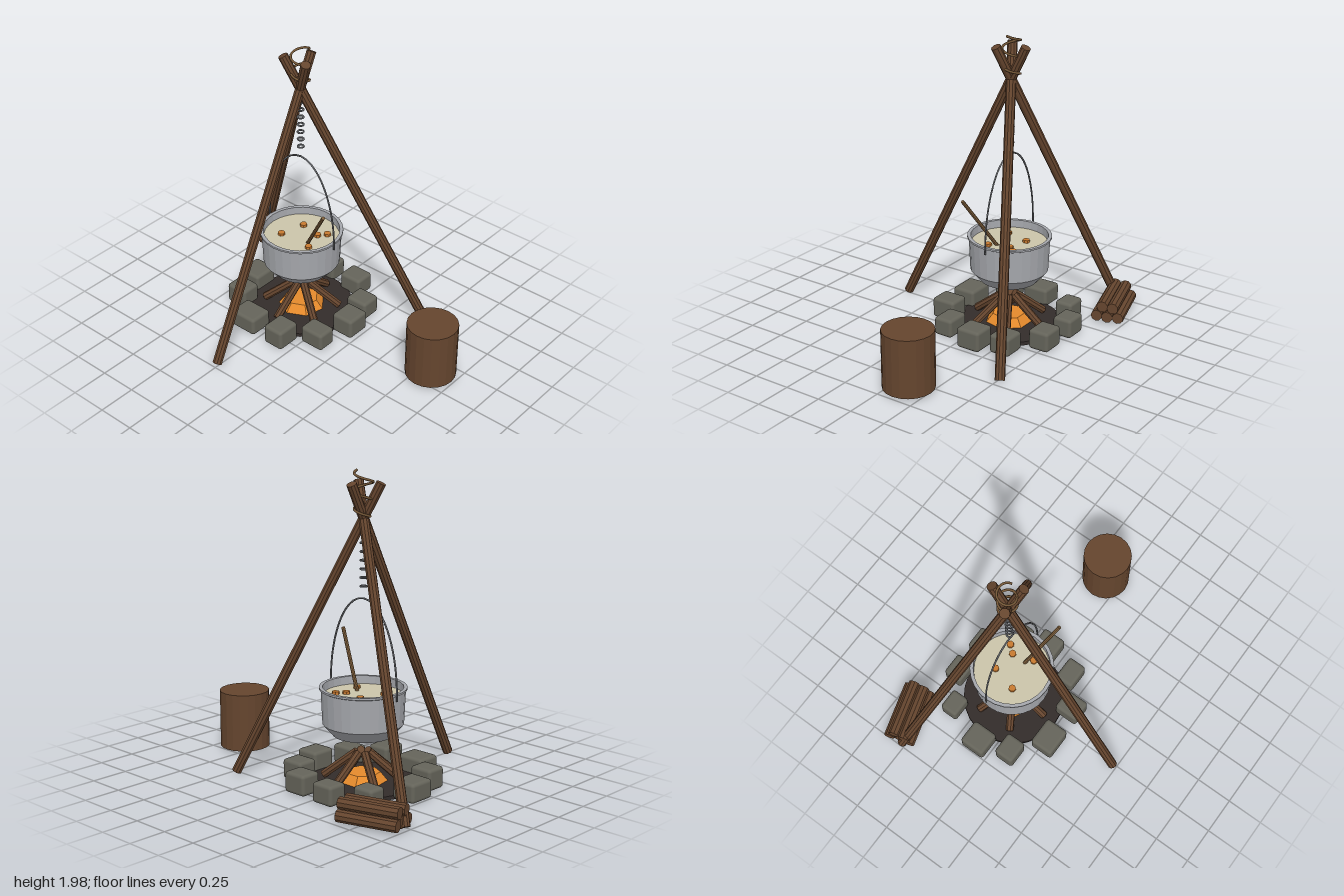
import * as THREE from 'three';
import { RoundedBoxGeometry } from 'three/addons/geometries/RoundedBoxGeometry.js';

const CX = -0.26, CZ = -0.11; // centre of the fire pit

function mat(name, color, extra = {}) {
  const m = new THREE.MeshStandardMaterial({ color, ...extra });
  m.name = name;
  return m;
}

export function createModel() {
  const root = new THREE.Group();
  root.name = 'campfireCookingSite';
  const flat = { flatShading: true };
  const bark = mat('bark brown', 0x65452e, flat);
  const stone = mat('stone grey', 0x65645a);
  const steel = mat('pot steel', 0xa6a8ad, { flatShading: true, side: THREE.DoubleSide });
  const iron = mat('dark iron', 0x6c6e72);
  const rope = mat('rope tan', 0x735636);
  const spoonWood = mat('spoon wood', 0x80603c, flat);
  const broth = mat('soup cream', 0xcbc5aa);
  const carrot = mat('carrot orange', 0xc87a30, flat);
  const ember = mat('ember orange', 0xe58a2c, flat);
  const ash = mat('ash black', 0x332c2a);

  function add(parent, name, geo, material, x = 0, y = 0, z = 0) {
    const m = new THREE.Mesh(geo, material);
    m.name = name;
    m.position.set(x, y, z);
    parent.add(m);
    return m;
  }
  function group(name, x = 0, y = 0, z = 0) {
    const g = new THREE.Group();
    g.name = name;
    g.position.set(x, y, z);
    root.add(g);
    return g;
  }
  // Round bar between two points
  function bar(parent, name, a, b, r0, r1, sides, material) {
    const p = new THREE.Vector3(...a), q = new THREE.Vector3(...b);
    const d = q.clone().sub(p);
    const m = add(parent, name, new THREE.CylinderGeometry(r1, r0, d.length(), sides), material);
    m.position.copy(p).add(q).multiplyScalar(0.5);
    m.quaternion.setFromUnitVectors(new THREE.Vector3(0, 1, 0), d.normalize());
    return m;
  }
  // Point at an angle (degrees) and radius around the local centre
  const polar = (deg, r, y) => {
    const a = THREE.MathUtils.degToRad(deg);
    return [Math.cos(a) * r, y, Math.sin(a) * r];
  };

  // Tripod poles
  const tripod = group('tripod', CX, 0, CZ);
  for (const deg of [90, 210, 330])
    bar(tripod, 'tripodPole', polar(deg, 0.83, 0.025), polar(deg, -0.107, 1.91), 0.032, 0.032, 10, bark);

  // Rope wound around the crossing
  const coil = [];
  for (let i = 0; i <= 30; i++) {
    const a = (i / 30) * Math.PI * 5;
    coil.push(new THREE.Vector3(Math.cos(a) * 0.058, 1.98 - 0.27 * i / 30, -Math.sin(a) * 0.058));
  }
  add(tripod, 'ropeLashing', new THREE.TubeGeometry(new THREE.CatmullRomCurve3(coil), 80, 0.008, 6), rope);

  // Hanging chain of flat rings
  const chain = group('chain', CX, 0, CZ);
  for (let i = 0; i < 8; i++) {
    const link = add(chain, 'chainLink', new THREE.TorusGeometry(0.02, 0.006, 6, 12), iron, 0, 1.275 + i * 0.0535, 0);
    link.rotation.x = Math.PI / 2;
  }

  // Pot: outer wall, rim, then inner wall
  const pot = group('cookingPot', CX, 0, CZ);
  const profile = [[0, 0.335], [0.19, 0.335], [0.255, 0.41], [0.265, 0.625], [0.275, 0.63],
    [0.275, 0.642], [0.252, 0.642], [0.245, 0.42], [0, 0.36]].map(p => new THREE.Vector2(...p));
  add(pot, 'potBody', new THREE.LatheGeometry(profile, 28), steel);
  add(pot, 'soup', new THREE.CylinderGeometry(0.25, 0.25, 0.01, 28), broth, 0, 0.585, 0);
  for (const [x, z, t] of [[-0.106, 0.08, 0.4], [0.13, 0.08, 1], [0.13, -0.11, 0.2], [-0.06, -0.09, 0.7], [0.087, -0.06, 1.3]])
    add(pot, 'carrotPiece', new THREE.CylinderGeometry(0.024, 0.024, 0.022, 7), carrot, x, 0.597, z).rotation.y = t;

  // Bail handle
  const arc = [new THREE.Vector3(-0.28, 0.6, 0)];
  for (let i = 0; i <= 12; i++) {
    const a = Math.PI * (1 - i / 12);
    arc.push(new THREE.Vector3(Math.cos(a) * 0.28, 0.62 + Math.sin(a) * 0.58, 0));
  }
  arc.push(new THREE.Vector3(0.28, 0.6, 0));
  add(pot, 'potHandle', new THREE.TubeGeometry(new THREE.CatmullRomCurve3(arc), 32, 0.006, 6), iron);

  // Spoon standing in the soup
  bar(pot, 'spoonHandle', [0.07, 0.56, 0.03], [0.315, 0.94, 0.15], 0.012, 0.012, 8, spoonWood);

  // Fire pit floor, embers and leaning firewood
  const fire = group('firePit', CX, 0, CZ);
  add(fire, 'ashBed', new THREE.CylinderGeometry(0.345, 0.345, 0.025, 28), ash, 0, 0.0225, 0);
  add(fire, 'embers', new THREE.CylinderGeometry(0.11, 0.16, 0.06, 7), ember, 0, 0.06, 0);
  for (let i = 0; i < 6; i++)
    bar(fire, 'burningLog', polar(30 + i * 60, 0.255, 0.05), polar(30 + i * 60, 0.04, 0.22), 0.027, 0.027, 8, bark);

  // Stone ring: x, z, width, depth, height
  const stones = group('stoneRing');
  for (const [x, z, w, d, h] of [
    [-0.35, -0.51, 0.16, 0.135, 0.13], [-0.10, -0.49, 0.165, 0.145, 0.135],
    [-0.565, -0.385, 0.15, 0.125, 0.125], [0.095, -0.32, 0.16, 0.145, 0.13],
    [-0.665, -0.105, 0.17, 0.18, 0.125], [0.152, -0.117, 0.16, 0.17, 0.14],
    [-0.60, 0.11, 0.16, 0.14, 0.14], [0.078, 0.125, 0.175, 0.135, 0.125],
    [-0.378, 0.275, 0.2, 0.165, 0.125], [-0.113, 0.27, 0.15, 0.17, 0.14]])
    add(stones, 'ringStone', new RoundedBoxGeometry(w, h, d, 2, 0.022), stone, x, 0.012 + h / 2, z);

  // Chopping stump
  add(root, 'stump', new THREE.CylinderGeometry(0.165, 0.165, 0.385, 20), bark, 0.83, 0.217, CZ);

  // Firewood stack: three logs below, two on top
  const pile = group('firewoodPile', -0.795, 0, -0.6);
  pile.rotation.y = THREE.MathUtils.degToRad(16.5);
  for (const [y, z, shift] of [[0.06, -0.072, 0], [0.06, 0, 0.005], [0.06, 0.072, -0.005], [0.127, -0.036, 0.005], [0.127, 0.036, -0.005]])
    bar(pile, 'firewoodLog', [-0.195 + shift, y, z], [0.195 + shift, y, z], 0.038, 0.038, 9, bark);

  return root;
}
